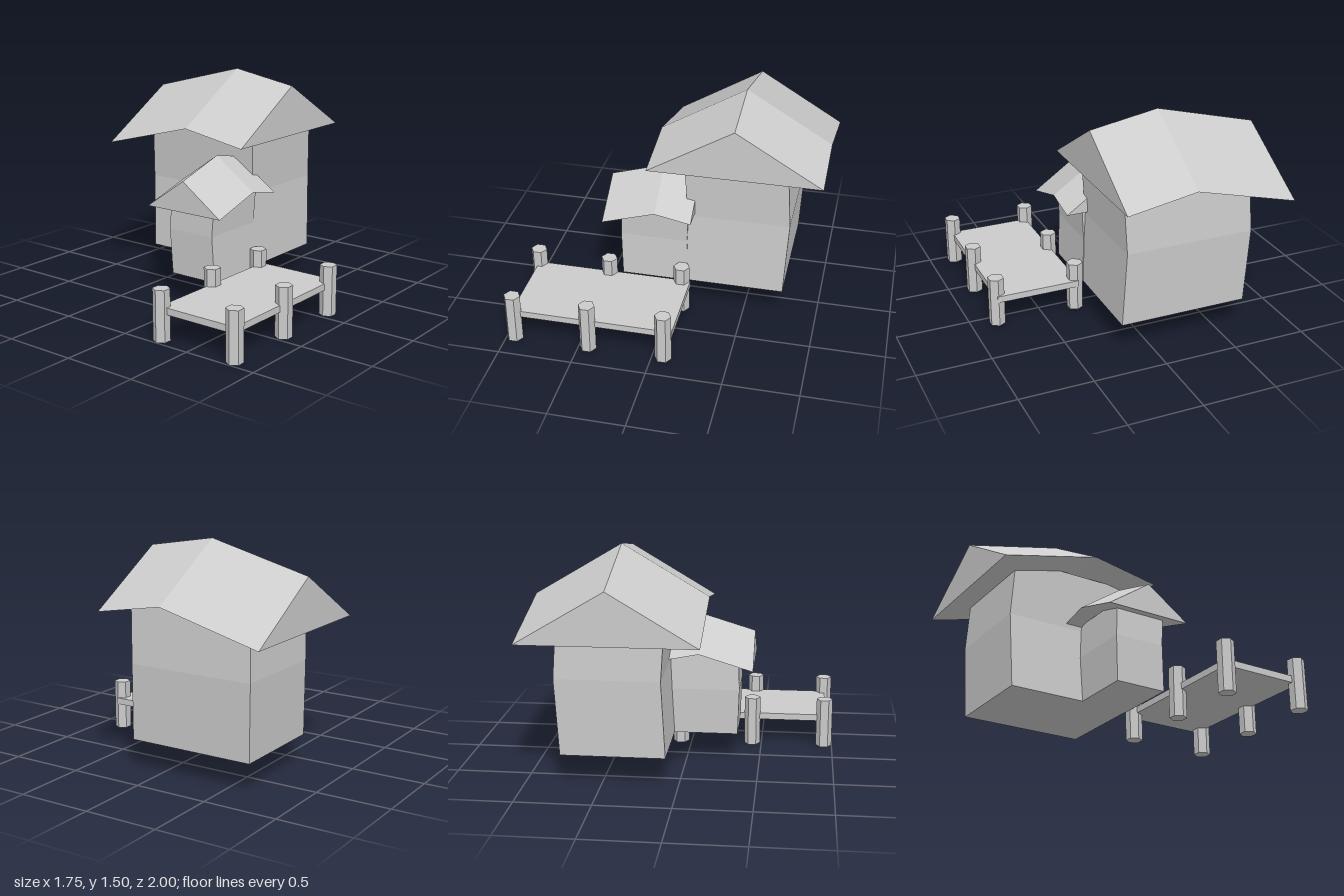
import * as THREE from 'three';

const material = new THREE.MeshStandardMaterial({ color: 0xcccccc, flatShading: true });

function addMesh(parent, name, geometry, x = 0, y = 0, z = 0) {
  const mesh = new THREE.Mesh(geometry, material);
  mesh.name = name;
  mesh.position.set(x, y, z);
  parent.add(mesh);
  return mesh;
}

// Closed solid through a row of rings, each counterclockwise around the direction of travel
function loft(rings) {
  const pos = [];
  const tri = (a, b, c) => pos.push(...a, ...b, ...c);
  const n = rings[0].length;
  for (let i = 0; i < rings.length - 1; i++) {
    for (let j = 0; j < n; j++) {
      const k = (j + 1) % n;
      const [a, b, c, d] = [rings[i][j], rings[i][k], rings[i + 1][k], rings[i + 1][j]];
      tri(a, b, c);
      tri(a, c, d);
    }
  }
  const first = rings[0], last = rings[rings.length - 1];
  for (let j = 1; j < n - 1; j++) {
    tri(first[0], first[j + 1], first[j]);
    tri(last[0], last[j], last[j + 1]);
  }
  const geometry = new THREE.BufferGeometry();
  geometry.setAttribute('position', new THREE.Float32BufferAttribute(pos, 3));
  geometry.computeVertexNormals();
  return geometry;
}

// Crooked hut: walls with a shifted waist, and a gable roof bent along its ridge
function createHut(name) {
  const hut = new THREE.Group();
  hut.name = name;

  const w = 0.44, d = 0.343;
  const wallRing = (y, dx, dz) => [
    [w + dx, y, d + dz], [w + dx, y, -d + dz], [-w + dx, y, -d + dz], [-w + dx, y, d + dz],
  ];
  addMesh(hut, 'walls', loft([
    wallRing(0, 0, 0), wallRing(0.515, -0.02, -0.025), wallRing(0.92, -0.003, 0),
  ]));

  const roofRing = (x, y) => [[x, y + 0.345, 0.002], [x, y, 0.582], [x, y, -0.578]];
  addMesh(hut, 'roof', loft([
    roofRing(-0.64, 0.78), roofRing(0.05, 0.96), roofRing(0.517, 0.88),
  ]));
  return hut;
}

export function createModel() {
  const model = new THREE.Group();
  model.name = 'dockHouse';

  // Main house
  const house = createHut('mainHouse');
  house.position.set(-0.235, 0.2, -0.422);
  model.add(house);

  // Smaller porch, turned a quarter so its gable faces the front
  const porch = createHut('porch');
  porch.position.set(0.031, 0.2, 0.12);
  porch.rotation.y = Math.PI / 2;
  porch.scale.set(0.524, 0.61, 0.52);
  model.add(porch);

  // Dock deck on six hexagonal posts
  const dock = new THREE.Group();
  dock.name = 'dock';
  model.add(dock);
  addMesh(dock, 'deck', new THREE.BoxGeometry(0.58, 0.045, 1.085), 0.54, 0.202, 0.407);
  const post = new THREE.CylinderGeometry(0.056, 0.056, 0.342, 6);
  for (const x of [0.257, 0.823]) {
    for (const z of [0.943, 0.434, -0.076]) addMesh(dock, 'post', post, x, 0.171, z);
  }
  return model;
}
